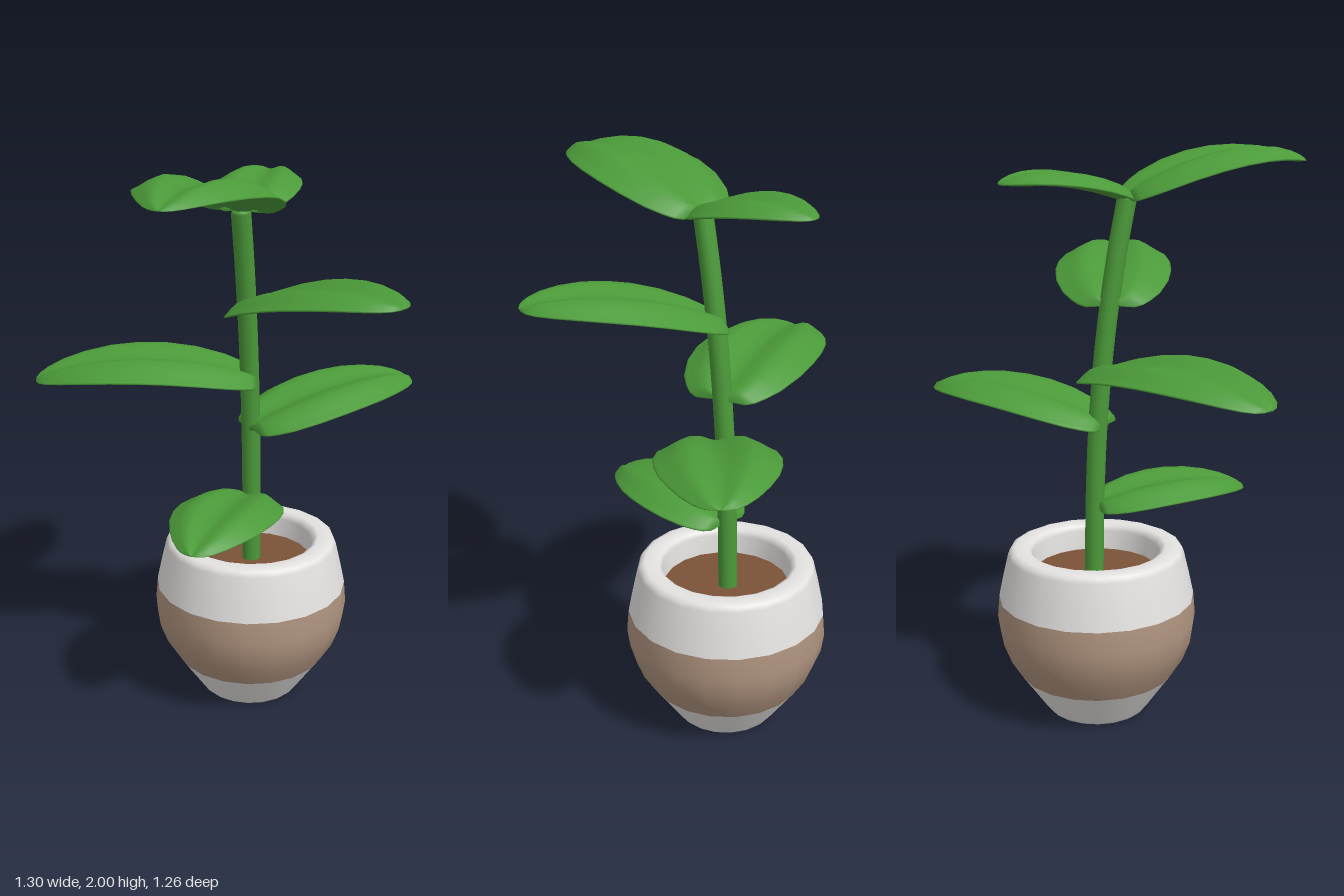
import * as THREE from 'three';

const mat = (name, color) => {
  const m = new THREE.MeshStandardMaterial({ color });
  m.name = name;
  return m;
};

// Leaf outline: [position along the leaf, relative half width, extra width for blunt tips]
const OUTLINE = [
  [0, 0, 0], [0, 0.42, 0], [0.02, 0.54, 0], [0.06, 0.66, 0], [0.13, 0.81, 0], [0.26, 0.95, 0],
  [0.4, 1, 0], [0.53, 0.97, 0.01], [0.66, 0.86, 0.04], [0.78, 0.68, 0.07], [0.88, 0.48, 0.09],
  [0.95, 0.3, 0.09], [0.985, 0.17, 0.07], [1, 0.06, 0.03], [1, 0, 0],
];

// Closed leaf: gull-wing cross-sections swept along an arched midrib
function leafGeometry({ base, tip, half, bow, blunt }) {
  const a = new THREE.Vector3(...base), b = new THREE.Vector3(...tip);
  const dir = b.clone().sub(a).setY(0).normalize();
  const side = new THREE.Vector3(0, 1, 0).cross(dir);
  const N = 32, pos = [], index = [];
  OUTLINE.forEach(([t, w, extra], i) => {
    const rel = w + extra * blunt;
    const mid = a.clone().lerp(b, t);
    mid.y += bow * 4 * t * (1 - t);
    for (let j = 0; j < N; j++) {
      const ang = (j / N) * Math.PI * 2, u = Math.cos(ang);
      const gull = 0.15 * half * rel * Math.sin(Math.PI * u) ** 2 - 0.006 * rel * u * u;
      const thick = 0.017 * Math.sin(ang) * Math.min(1, rel * 1.6);
      const p = mid.clone().addScaledVector(side, u * half * rel);
      pos.push(p.x, p.y + gull + thick, p.z);
      if (i < OUTLINE.length - 1) {
        const k = (j + 1) % N, r = i * N, s = r + N;
        index.push(r + j, r + k, s + j, r + k, s + k, s + j);
      }
    }
  });
  const g = new THREE.BufferGeometry();
  g.setAttribute('position', new THREE.Float32BufferAttribute(pos, 3));
  g.setIndex(index);
  g.computeVertexNormals();
  return g;
}

export function createModel() {
  const root = new THREE.Group();
  root.name = 'pottedPlant';
  const green = mat('leafGreen', 0x4b9a39);
  const white = mat('potWhite', 0xe4e2e0);
  const tan = mat('potBand', 0xb0947f);
  const brown = mat('soilBrown', 0x7c5238);

  const add = (parent, name, geo, material) => {
    const m = new THREE.Mesh(geo, material);
    m.name = name;
    parent.add(m);
    return m;
  };

  // Pot, turned in three coloured sections
  const pot = new THREE.Group();
  pot.name = 'pot';
  pot.position.set(0.04, 0, -0.155);
  root.add(pot);
  const turned = (name, pts, material) =>
    add(pot, name, new THREE.LatheGeometry(pts.map(p => new THREE.Vector2(...p)), 20), material);
  turned('potFoot', [[0, 0], [0.177, 0], [0.188, 0.012], [0.235, 0.08], [0.28, 0.145]], white);
  turned('potBand', [[0.28, 0.145], [0.32, 0.21], [0.347, 0.28], [0.357, 0.35], [0.35, 0.43]], tan);
  turned('potRim', [[0.35, 0.43], [0.333, 0.51], [0.314, 0.59], [0.307, 0.607], [0.29, 0.615],
    [0.25, 0.615], [0.235, 0.607], [0.228, 0.59], [0.222, 0.505]], white);
  turned('soil', [[0.226, 0.52], [0, 0.52]], brown);

  // Stem leaning gently forward
  const path = new THREE.CatmullRomCurve3([
    [0.5, -0.163], [0.8, -0.157], [1.1, -0.141], [1.4, -0.11], [1.65, -0.071], [1.83, -0.035],
  ].map(([y, z]) => new THREE.Vector3(0.04, y, z)));
  add(root, 'stem', new THREE.TubeGeometry(path, 20, 0.034, 12), green);
  const cap = add(root, 'stemTip', new THREE.SphereGeometry(0.034, 12, 8), green);
  cap.position.set(0.04, 1.825, -0.036);
  cap.scale.y = 0.5;

  // Leaves from bottom to top
  const leaves = [
    { base: [0.04, 0.762, -0.152], tip: [0.04, 0.78, 0.412], half: 0.185, bow: 0.038, blunt: 0.6 },
    { base: [0.05, 1.053, -0.11], tip: [0.492, 1.145, -0.607], half: 0.208, bow: 0.042, blunt: 1 },
    { base: [0.055, 1.225, -0.135], tip: [-0.64, 1.238, 0.175], half: 0.22, bow: 0.058, blunt: 1 },
    { base: [0.025, 1.477, -0.1], tip: [0.64, 1.602, 0.145], half: 0.208, bow: 0.043, blunt: 1 },
    { base: [0.04, 1.835, -0.04], tip: [0.04, 1.945, 0.627], half: 0.222, bow: 0.06, blunt: 0 },
    { base: [0.045, 1.835, -0.035], tip: [0, 1.893, -0.485], half: 0.153, bow: 0.03, blunt: 0.2 },
  ];
  leaves.forEach((leaf, i) => add(root, `leaf${i + 1}`, leafGeometry(leaf), green));
  return root;
}
